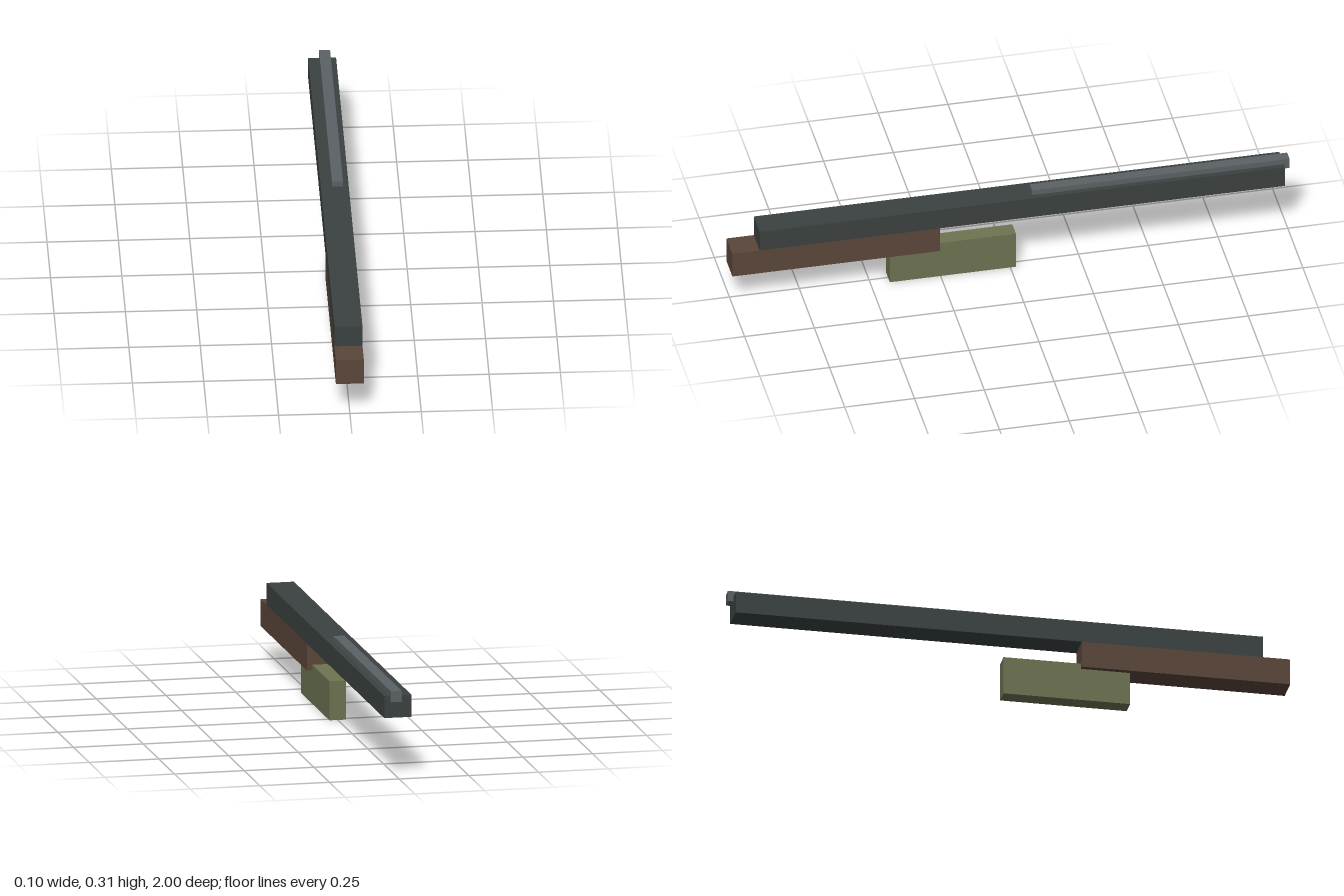
import * as THREE from 'three';

const material = (name, color) => {
  const m = new THREE.MeshStandardMaterial({ color });
  m.name = name;
  return m;
};

// Box spanning the given [min, max] range on each axis
function block(name, mat, [x0, x1], [y0, y1], [z0, z1]) {
  const mesh = new THREE.Mesh(new THREE.BoxGeometry(x1 - x0, y1 - y0, z1 - z0), mat);
  mesh.position.set((x0 + x1) / 2, (y0 + y1) / 2, (z0 + z1) / 2);
  mesh.name = name;
  return mesh;
}

export function createModel() {
  const model = new THREE.Group();
  model.name = 'blockModel';

  model.add(
    // Long main beam
    block('mainBeam', material('dark slate', 0x3b4241), [-0.049, 0.049], [0.216, 0.295], [-0.98, 0.902]),
    // Wooden block under the front end
    block('woodenBlock', material('brown wood', 0x5b463a), [-0.049, 0.049], [0.12, 0.216], [0.256, 1]),
    // Narrow lower block, let into the wood
    block('lowerBlock', material('olive', 0x6d7351), [-0.03, 0.03], [0, 0.14], [-0.02, 0.432]),
    // Thin off-centre rail, sunk into the beam and overhanging its back end
    block('topRail', material('steel grey', 0x5c6165), [-0.01, 0.029], [0.276, 0.315], [-1, -0.078]),
  );
  return model;
}
